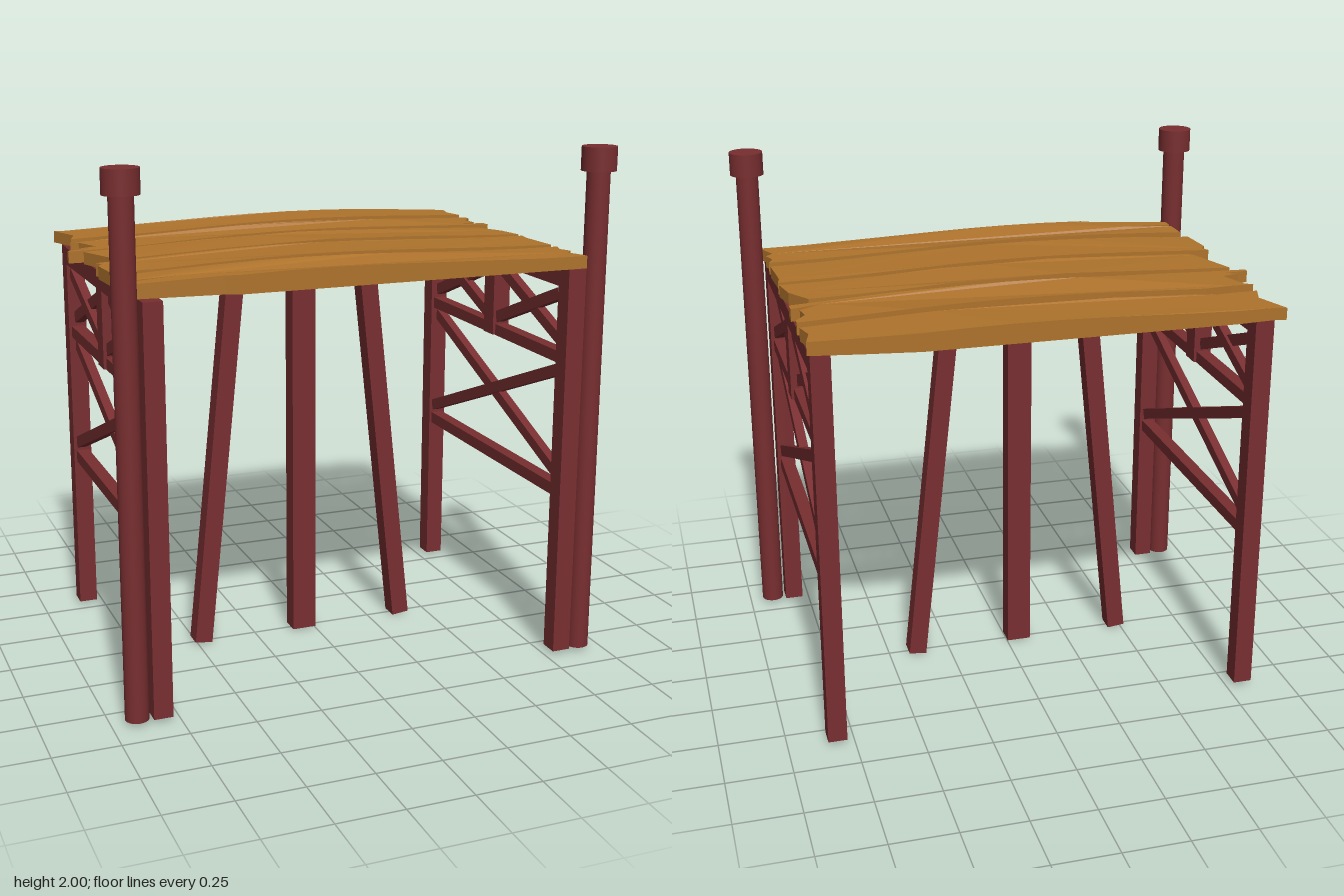
import * as THREE from 'three';

const red = new THREE.MeshStandardMaterial({ color: 0x782e30 });
red.name = 'red painted timber';
const wood = new THREE.MeshStandardMaterial({ color: 0xae732c });
wood.name = 'plank wood';

function add(parent, name, geometry, material = red) {
  const mesh = new THREE.Mesh(geometry, material);
  mesh.name = name;
  parent.add(mesh);
  return mesh;
}

// Box given by its limits on each axis
function box(parent, name, [x0, x1], [y0, y1], [z0, z1]) {
  const mesh = add(parent, name, new THREE.BoxGeometry(x1 - x0, y1 - y0, z1 - z0));
  mesh.position.set((x0 + x1) / 2, (y0 + y1) / 2, (z0 + z1) / 2);
  return mesh;
}

// Slanted bar in a side frame, from (z, y) to (z, y)
function brace(parent, x, [z0, y0], [z1, y1]) {
  const length = Math.hypot(z1 - z0, y1 - y0);
  const mesh = add(parent, 'brace', new THREE.BoxGeometry(0.035, 0.045, length));
  mesh.position.set(x, (y0 + y1) / 2, (z0 + z1) / 2);
  mesh.rotation.x = -Math.atan2(y1 - y0, z1 - z0);
}

// Slanted leg in the middle row, from (x, y) to (x, y)
function leg(parent, [x0, y0], [x1, y1]) {
  const mesh = add(parent, 'slantedLeg', new THREE.BoxGeometry(0.07, Math.hypot(x1 - x0, y1 - y0), 0.075));
  mesh.position.set((x0 + x1) / 2, (y0 + y1) / 2, 0);
  mesh.rotation.z = -Math.atan2(x1 - x0, y1 - y0);
}

function sideFrame(side) {
  const frame = new THREE.Group();
  frame.name = side > 0 ? 'leftFrame' : 'rightFrame';
  const x = 0.815 * side;
  const wide = [x - 0.036, x + 0.036];
  const thin = [x - 0.025, x + 0.025];
  box(frame, 'backPost', wide, [0.02, 1.55], [-0.612, -0.537]);
  box(frame, 'frontPost', wide, [0.02, 1.55], [0.56, 0.635]);
  box(frame, 'topBeam', wide, [1.478, 1.548], [-0.537, 0.56]);
  box(frame, 'middleRail', thin, [1.178, 1.224], [-0.537, 0.56]);
  box(frame, 'lowerRail', thin, [0.647, 0.695], [-0.537, 0.56]);
  box(frame, 'kingPost', wide, [1.18, 1.478], [-0.036, 0.047]);
  // Large cross below, two small crosses above
  brace(frame, x - 0.006, [0.55, 1.15], [-0.537, 0.73]);
  brace(frame, x + 0.006, [0.55, 0.73], [-0.537, 1.15]);
  for (const [a, b] of [[0.54, 0.047], [-0.537, -0.036]]) {
    brace(frame, x - 0.006, [a, 1.445], [b, 1.255]);
    brace(frame, x + 0.006, [a, 1.26], [b, 1.455]);
  }
  // Round post with its cap
  const post = add(frame, 'roundPost', new THREE.CylinderGeometry(0.044, 0.044, 1.91, 32));
  post.position.set(0.905 * side, 0.975, 0.6);
  const cap = add(frame, 'postCap', new THREE.CylinderGeometry(0.066, 0.066, 0.09, 32));
  cap.position.set(0.905 * side, 1.955, 0.6);
  return frame;
}

// Plank outlines as x, z corners: back edge, right end, front edge, left end
const outlines = [
  [[-0.87, -0.67], [-0.83, -0.66], [-0.68, -0.67], [0.47, -0.67], [0.68, -0.64], [0.86, -0.61], [0.84, -0.53],
    [0.86, -0.45], [-0.6, -0.445], [-0.68, -0.463], [-0.75, -0.452], [-0.85, -0.445], [-0.82, -0.53]],
  [[-0.87, -0.365], [-0.78, -0.37], [-0.67, -0.39], [0, -0.39], [0.45, -0.385], [0.86, -0.385], [0.86, -0.36],
    [0.82, -0.31], [0.83, -0.25], [0.75, -0.205], [0.86, -0.225], [0.86, -0.18], [0.47, -0.17], [0.2, -0.18],
    [-0.4, -0.18], [-0.6, -0.17], [-0.92, -0.17], [-0.92, -0.19], [-0.82, -0.2], [-0.87, -0.22], [-0.8, -0.24],
    [-0.84, -0.35]],
  [[-0.87, -0.135], [-0.4, -0.135], [-0.2, -0.125], [0, -0.138], [0.25, -0.128], [0.45, -0.135], [0.78, -0.122],
    [0.84, -0.02], [0.86, 0.087], [0.45, 0.066], [0.25, 0.075], [0.05, 0.066], [-0.2, 0.087], [-0.4, 0.08],
    [-0.78, 0.08], [-0.8, 0.06]],
  [[-0.885, 0.12], [0.86, 0.12], [0.85, 0.17], [0.86, 0.35], [-0.72, 0.35], [-0.76, 0.337], [-0.88, 0.335],
    [-0.89, 0.18], [-0.87, 0.15]],
  [[-0.87, 0.4], [0.86, 0.4], [0.84, 0.45], [0.86, 0.5], [0.83, 0.53], [0.86, 0.6], [0.86, 0.622], [-0.5, 0.625],
    [-0.55, 0.605], [-0.87, 0.575], [-0.87, 0.53], [-0.67, 0.515], [-0.87, 0.505]],
];

function plank(outline, index) {
  // Divide the long edges so the top can undulate
  const points = [];
  outline.forEach(([x, z], i) => {
    const [nx, nz] = outline[(i + 1) % outline.length];
    const steps = Math.max(1, Math.round(Math.hypot(nx - x, nz - z) / 0.17));
    for (let s = 0; s < steps; s++) {
      const t = s / steps;
      points.push(new THREE.Vector2(x + (nx - x) * t, -(z + (nz - z) * t)));
    }
  });
  const geometry = new THREE.ExtrudeGeometry(new THREE.Shape(points), { depth: 0.06, bevelEnabled: false });
  geometry.rotateX(-Math.PI / 2);
  const pos = geometry.attributes.position;
  for (let i = 0; i < pos.count; i++) {
    if (pos.getY(i) < 0.03) continue;
    const x = pos.getX(i);
    pos.setY(i, 0.063 + 0.011 * Math.sin(3.2 * x + 1.1 + index * 0.3) - 0.008 * x * x);
  }
  geometry.translate(0, 1.55, 0);
  geometry.computeVertexNormals();
  return geometry;
}

export function createModel() {
  const model = new THREE.Group();
  model.name = 'woodenDock';
  model.add(sideFrame(1), sideFrame(-1));

  // Middle support row
  const middle = new THREE.Group();
  middle.name = 'middleSupport';
  box(middle, 'crossBeam', [-0.57, 0.465], [1.485, 1.535], [-0.038, 0.038]);
  box(middle, 'centrePost', [-0.096, 0], [0.01, 1.485], [-0.036, 0.042]);
  leg(middle, [-0.478, 0.012], [-0.325, 1.482]);
  leg(middle, [0.386, 0.008], [0.225, 1.478]);
  model.add(middle);

  // Deck of weathered planks
  const deck = new THREE.Group();
  deck.name = 'deck';
  outlines.forEach((outline, i) => add(deck, 'plank', plank(outline, i), wood));
  model.add(deck);
  return model;
}
